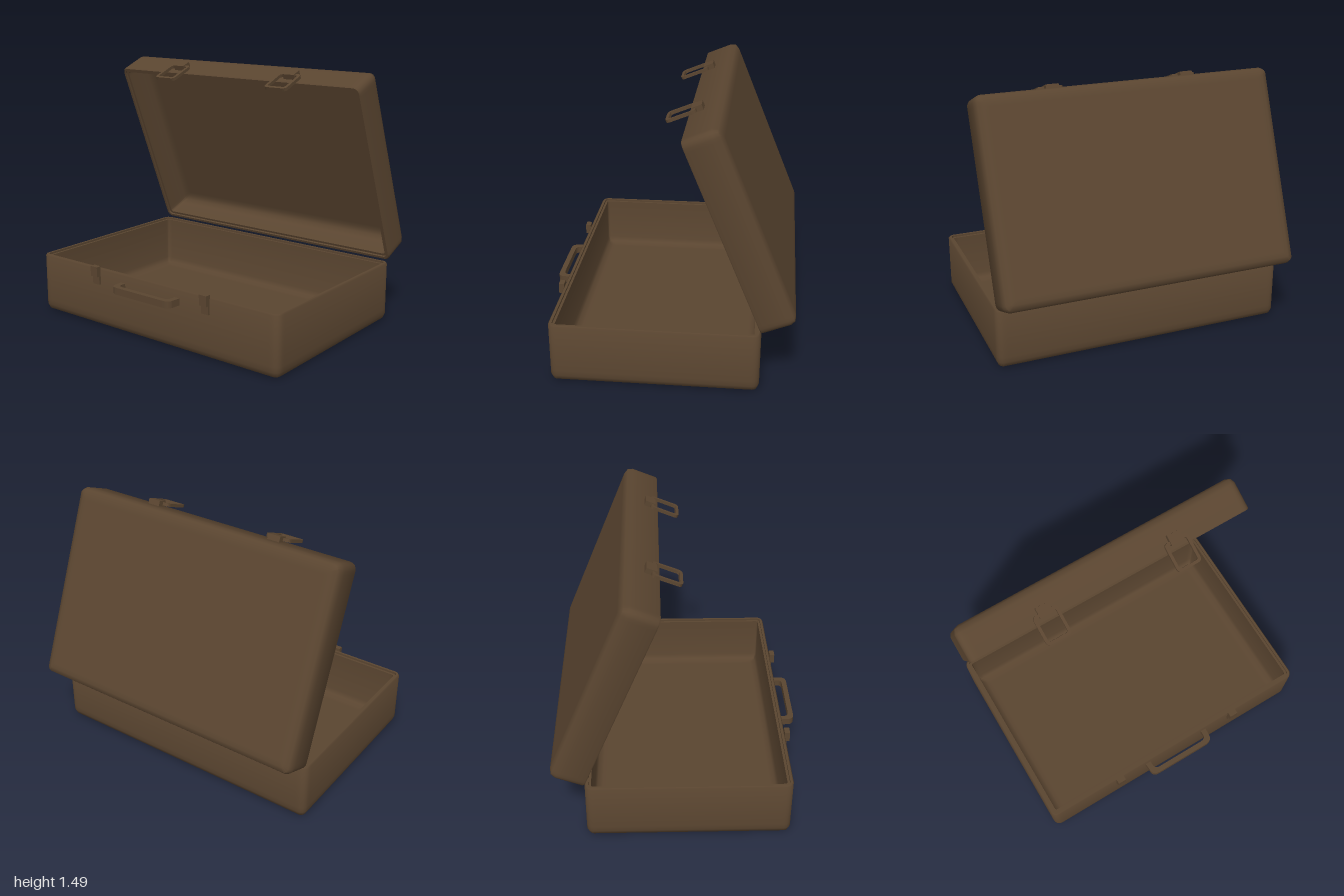
import * as THREE from 'three';
import { toCreasedNormals } from 'three/addons/utils/BufferGeometryUtils.js';

const WIDTH = 1.15, LENGTH = 1.74, BASE_H = 0.355, LID_H = 0.205;
const LATCH_Z = [-0.405, 0.405];

const leather = new THREE.MeshStandardMaterial({ color: 0x5a4530 });
leather.name = 'brown leather';

// Rounded rectangle loop, counter-clockwise seen from above
function ringPoints(inset, y) {
  const hx = WIDTH / 2 - inset, hz = LENGTH / 2 - inset;
  const r = Math.max(0.04 - inset, 0.012), steps = 4, guard = 0.02;
  const pts = [];
  [[1, 1], [-1, 1], [-1, -1], [1, -1]].forEach(([sx, sz], q) => {
    const cx = sx * (hx - r), cz = sz * (hz - r);
    const at = (a, ox, oz) => pts.push([cx + r * Math.cos(a) + ox, y, -(cz + r * Math.sin(a) + oz)]);
    const a0 = q * Math.PI / 2, a1 = a0 + Math.PI / 2;
    // short guard points keep the long walls flat-shaded beside the corner
    at(a0, guard * Math.sin(a0), -guard * Math.cos(a0));
    for (let i = 0; i <= steps; i++) at(a0 + i / steps * (a1 - a0), 0, 0);
    at(a1, -guard * Math.sin(a1), guard * Math.cos(a1));
  });
  return pts;
}

// Open tray: profile of [inset, height] from underside, over the rim, to the floor
function trayGeometry(height) {
  const profile = [
    [0.07, 0], [0.04, 0], [0.012, 0.012], [0, 0.04], [0, 0.07],
    [0, height - 0.008], [0.006, height], [0.02, height], [0.02, height - 0.012],
    [0.034, height - 0.012], [0.034, 0.075], [0.046, 0.045], [0.075, 0.034], [0.1, 0.034],
  ];
  const pos = [], index = [];
  const rings = profile.map(([inset, y]) => ringPoints(inset, y));
  const n = rings[0].length;
  rings.forEach(ring => ring.forEach(p => pos.push(...p)));
  for (let i = 0; i < rings.length - 1; i++) {
    for (let j = 0; j < n; j++) {
      const k = (j + 1) % n;
      const a = i * n + j, b = i * n + k, c = b + n, d = a + n;
      index.push(a, b, c, a, c, d);
    }
  }
  // Underside and inner floor
  const under = pos.length / 3, floor = under + 1, last = (rings.length - 1) * n;
  pos.push(0, 0, 0, 0, 0.034, 0);
  for (let j = 0; j < n; j++) {
    const k = (j + 1) % n;
    index.push(under, k, j, floor, last + j, last + k);
  }
  const geo = new THREE.BufferGeometry();
  geo.setAttribute('position', new THREE.Float32BufferAttribute(pos, 3));
  geo.setIndex(index);
  return toCreasedNormals(geo, 0.85);
}

function addMesh(parent, name, geometry, x = 0, y = 0, z = 0) {
  const mesh = new THREE.Mesh(geometry, leather);
  mesh.name = name;
  mesh.position.set(x, y, z);
  parent.add(mesh);
  return mesh;
}

// Flat rounded-corner rectangle path
function roundRect(path, x0, y0, x1, y1, r) {
  path.moveTo(x0 + r, y0);
  path.lineTo(x1 - r, y0);
  path.quadraticCurveTo(x1, y0, x1, y0 + r);
  path.lineTo(x1, y1 - r);
  path.quadraticCurveTo(x1, y1, x1 - r, y1);
  path.lineTo(x0 + r, y1);
  path.quadraticCurveTo(x0, y1, x0, y1 - r);
  path.lineTo(x0, y0 + r);
  path.quadraticCurveTo(x0, y0, x0 + r, y0);
  return path;
}

// U-shaped carrying handle, flat in the horizontal plane
function handleGeometry() {
  const s = new THREE.Shape();
  s.moveTo(0.01, -0.22);
  s.lineTo(-0.055, -0.215);
  s.quadraticCurveTo(-0.085, -0.21, -0.085, -0.17);
  s.lineTo(-0.085, 0.17);
  s.quadraticCurveTo(-0.085, 0.21, -0.055, 0.215);
  s.lineTo(0.01, 0.22);
  s.lineTo(0.01, 0.185);
  s.lineTo(-0.03, 0.185);
  s.quadraticCurveTo(-0.055, 0.18, -0.055, 0.15);
  s.lineTo(-0.055, -0.15);
  s.quadraticCurveTo(-0.055, -0.18, -0.03, -0.185);
  s.lineTo(0.01, -0.185);
  s.closePath();
  const geo = new THREE.ExtrudeGeometry(s, { depth: 0.04, bevelEnabled: false, curveSegments: 5 });
  return geo.translate(0, 0, -0.02).rotateX(Math.PI / 2);
}

// Wire loop of a latch, lying in the plane of the lid's front wall
function loopGeometry() {
  const s = roundRect(new THREE.Shape(), -0.075, -0.12, 0.075, 0.053, 0.025);
  s.holes.push(roundRect(new THREE.Path(), -0.058, -0.103, 0.058, 0.036, 0.015));
  const geo = new THREE.ExtrudeGeometry(s, { depth: 0.018, bevelEnabled: false, curveSegments: 4 });
  return geo.translate(0, 0, -0.009).rotateY(-Math.PI / 2);
}

export function createModel() {
  const model = new THREE.Group();
  model.name = 'openSuitcase';
  const suitcase = new THREE.Group();
  suitcase.name = 'suitcase';
  suitcase.position.set(-0.09, 0, 0.02);
  suitcase.rotation.y = THREE.MathUtils.degToRad(13.3);
  model.add(suitcase);

  // Lower half with handle and catches
  addMesh(suitcase, 'base', trayGeometry(BASE_H));
  addMesh(suitcase, 'handle', handleGeometry(), -WIDTH / 2, 0.285, 0);
  for (const z of LATCH_Z) {
    addMesh(suitcase, 'catchPlate', new THREE.BoxGeometry(0.014, 0.11, 0.05), -WIDTH / 2 - 0.006, 0.315, z);
    addMesh(suitcase, 'catchHook', new THREE.BoxGeometry(0.018, 0.06, 0.05), -WIDTH / 2 - 0.021, 0.34, z);
  }

  // Lid pivots about the back edge of the base
  const lid = new THREE.Group();
  lid.name = 'lidAssembly';
  lid.position.set(WIDTH / 2 + 0.005, BASE_H + 0.004, 0);
  lid.rotation.z = THREE.MathUtils.degToRad(-68);
  suitcase.add(lid);
  addMesh(lid, 'lid', trayGeometry(LID_H).rotateX(Math.PI).translate(-WIDTH / 2, LID_H, 0));

  // Latches on the lid's front wall
  for (const z of LATCH_Z) {
    addMesh(lid, 'latchLoop', loopGeometry(), -WIDTH - 0.016, 0, z);
    addMesh(lid, 'latchMount', new THREE.BoxGeometry(0.034, 0.06, 0.075), -WIDTH - 0.014, 0.058, z);
  }
  return model;
}
